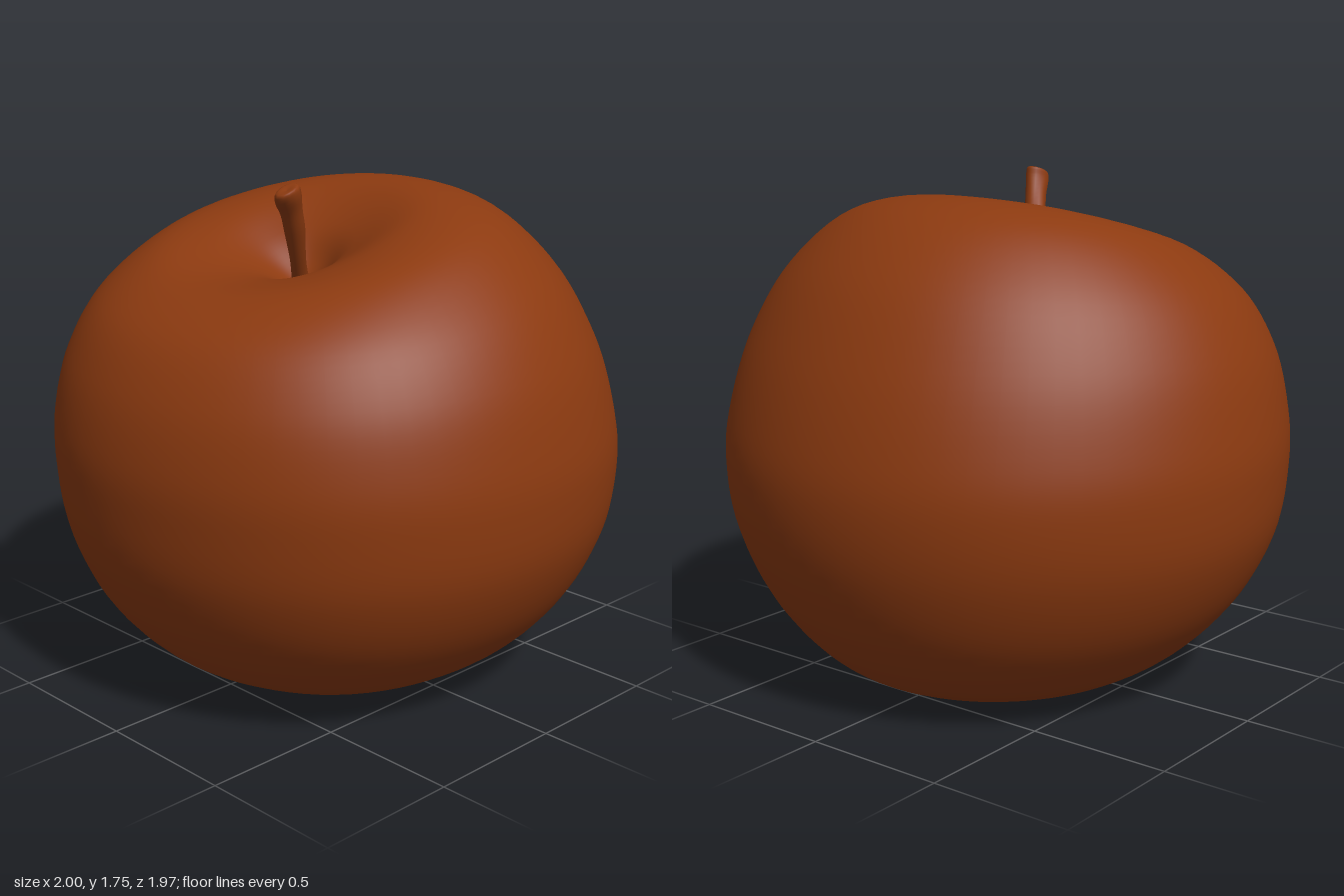
import * as THREE from 'three';

const skin = new THREE.MeshStandardMaterial({ color: 0x8c3a10 });
skin.name = 'russet brown';

// Closed surface through rings listed from top to bottom
function loft(rows, cols, point) {
  const pos = [], index = [];
  for (let i = 0; i <= rows; i++)
    for (let j = 0; j < cols; j++)
      pos.push(...point(i / rows, (j / cols) * Math.PI * 2));
  for (let i = 0; i < rows; i++)
    for (let j = 0; j < cols; j++) {
      const k = (j + 1) % cols;
      const a = i * cols + j, b = a + cols, c = (i + 1) * cols + k, d = i * cols + k;
      index.push(a, b, d, b, c, d);
    }
  const geo = new THREE.BufferGeometry();
  geo.setAttribute('position', new THREE.Float32BufferAttribute(pos, 3));
  geo.setIndex(index);
  geo.computeVertexNormals();
  return geo;
}

// Smooth interpolation along a list of stations
function sample(stations, t) {
  const n = stations.length - 1;
  const i = Math.min(Math.floor(t * n), n - 1), f = t * n - i;
  const at = k => stations[Math.max(0, Math.min(n, k))];
  return stations[0].map((_, c) => {
    const a = at(i - 1)[c], p = at(i)[c], q = at(i + 1)[c], b = at(i + 2)[c];
    return p + 0.5 * f * (q - a + f * (2 * a - 5 * p + 4 * q - b + f * (3 * (p - q) + b - a)));
  });
}

// Stem cavity, shoulder, belly, base, calyx hollow:
// centre x, half width, front z, back z, then height at front, back and sides
const body = [
  [-0.02, 0, 0.12, 0.12, 1.35, 1.35, 1.35],
  [-0.02, 0.07, 0.19, 0.05, 1.38, 1.43, 1.4],
  [-0.02, 0.19, 0.3, -0.04, 1.42, 1.56, 1.49],
  [-0.01, 0.38, 0.45, -0.25, 1.435, 1.69, 1.58],
  [0, 0.6, 0.64, -0.5, 1.42, 1.65, 1.56],
  [0, 0.8, 0.82, -0.72, 1.32, 1.465, 1.405],
  [0, 0.925, 0.93, -0.87, 1.15, 1.21, 1.2],
  [0, 0.985, 0.98, -0.955, 0.96, 0.96, 0.98],
  [0, 1, 0.983, -0.98, 0.78, 0.76, 0.79],
  [0, 0.965, 0.945, -0.945, 0.54, 0.53, 0.56],
  [0, 0.84, 0.83, -0.84, 0.3, 0.29, 0.32],
  [0, 0.64, 0.62, -0.67, 0.1, 0.1, 0.12],
  [-0.01, 0.4, 0.36, -0.48, 0.015, 0.025, 0.01],
  [-0.04, 0.22, 0.18, -0.26, 0.04, 0.05, 0.04],
  [-0.05, 0.13, 0.09, -0.17, 0.12, 0.12, 0.12],
  [-0.05, 0, -0.04, -0.04, 0.16, 0.16, 0.16],
];

function bodyPoint(t, a) {
  const [cx, hx, zf, zb, yf, yb, ys] = sample(body, t);
  const s = Math.sin(a), c = Math.cos(a);
  // fuller on one front diagonal, flatter on the other
  const k = 1 + 0.017 * s * (1 + c) * Math.sin(2 * a) ** 2;
  // faint lobes around the calyx
  const lobe = 0.008 * Math.cos(5 * a) * Math.exp(-(((t - 0.87) / 0.05) ** 2));
  return [
    cx + hx * s * k,
    ys + (c * (yf - yb)) / 2 + c * c * ((yf + yb) / 2 - ys) + lobe,
    (zf + zb) / 2 + ((zf - zb) / 2) * c * k,
  ];
}

// Stem from cut tip to base: centre x, y, z and radius
const stem = [
  [0.13, 1.735, 0.335, 0],
  [0.13, 1.738, 0.335, 0.036],
  [0.125, 1.71, 0.325, 0.04],
  [0.108, 1.66, 0.295, 0.034],
  [0.085, 1.59, 0.26, 0.034],
  [0.055, 1.5, 0.22, 0.03],
  [0.022, 1.42, 0.18, 0.03],
  [-0.005, 1.36, 0.15, 0.038],
  [-0.02, 1.31, 0.13, 0.045],
];

function stemPoint(t, a) {
  const [x, y, z, r] = sample(stem, t);
  const q = r * (1 + 0.1 * Math.sin(2 * a + t * 9));
  return [x + q * Math.sin(a), y - 0.4 * q * Math.cos(a), z + q * Math.cos(a)];
}

export function createModel() {
  const model = new THREE.Group();
  model.name = 'apple';
  const add = (name, geo, parent = model) => {
    const mesh = new THREE.Mesh(geo, skin);
    mesh.name = name;
    parent.add(mesh);
    return mesh;
  };

  add('body', loft(90, 72, bodyPoint));
  add('stem', loft(32, 12, stemPoint));

  // Dried sepals folded over the lower hollow
  const calyx = new THREE.Group();
  calyx.name = 'calyx';
  calyx.position.set(-0.05, 0.09, -0.04);
  for (let i = 0; i < 5; i++) {
    const arm = new THREE.Group();
    arm.rotation.y = (i * Math.PI * 2) / 5 + 0.3;
    const sepal = add('sepal', new THREE.ConeGeometry(0.045, 0.14, 6), arm);
    sepal.scale.z = 0.35;
    sepal.position.set(0, 0, 0.07);
    sepal.rotation.x = -Math.PI / 2 - 0.35 + 0.2 * (i % 2);
    calyx.add(arm);
  }
  model.add(calyx);
  return model;
}
